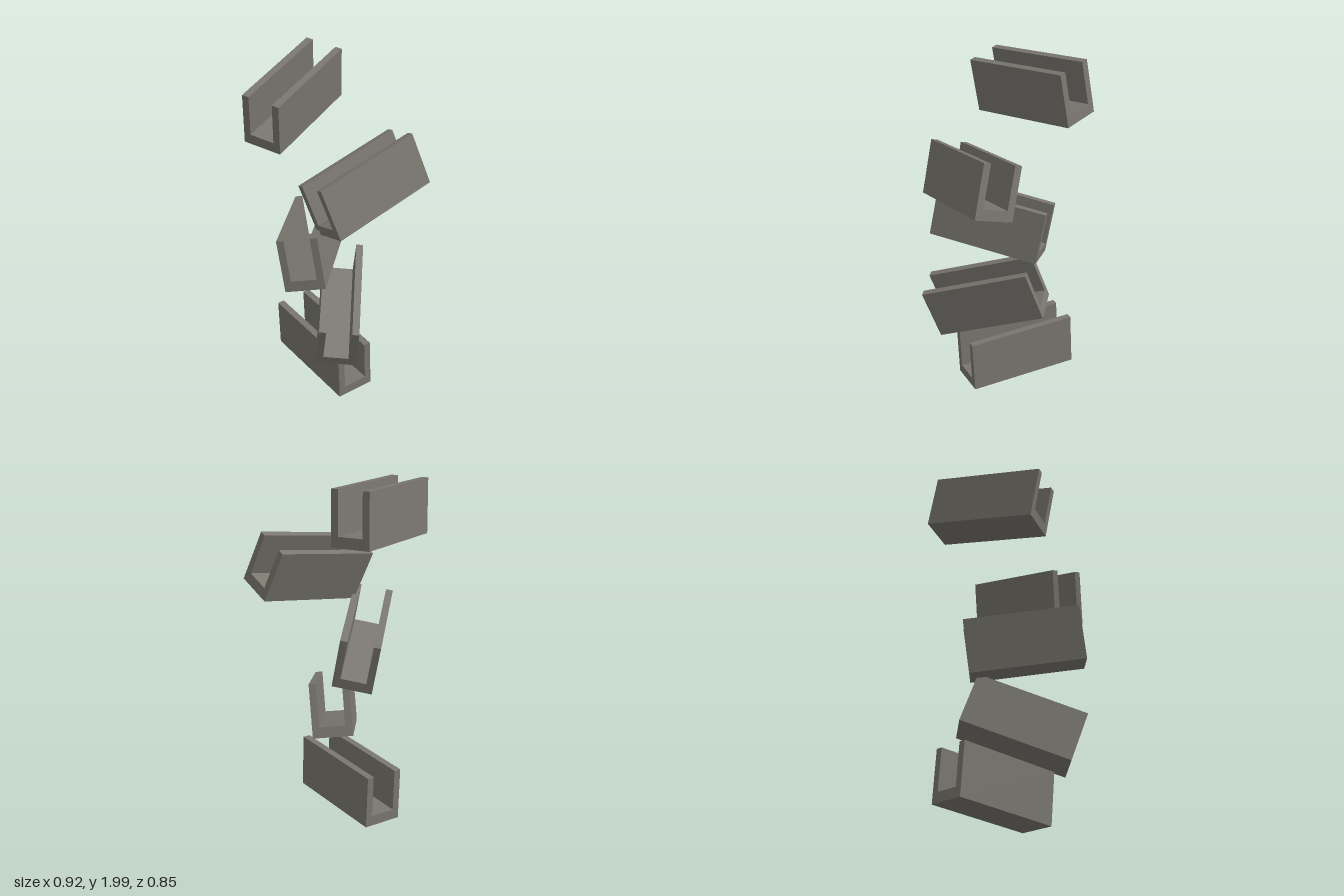
import * as THREE from 'three';

const LENGTH = 0.637, WIDTH = 0.224, HEIGHT = 0.302, WALL = 0.04, FLOOR = 0.06;

// U-shaped trough, centred on its own bounding box, running along z
function channelGeometry() {
  const w = WIDTH / 2, h = HEIGHT / 2, i = w - WALL, f = -h + FLOOR;
  const profile = new THREE.Shape([
    [-w, -h], [w, -h], [w, h], [i, h], [i, f], [-i, f], [-i, h], [-w, h],
  ].map(([x, y]) => new THREE.Vector2(x, y)));
  const geometry = new THREE.ExtrudeGeometry(profile, { depth: LENGTH, bevelEnabled: false });
  return geometry.translate(0, 0, -LENGTH / 2);
}

export function createModel() {
  const group = new THREE.Group();
  group.name = 'channelStack';
  const stone = new THREE.MeshStandardMaterial({ color: 0x7a776f });
  stone.name = 'warmGreyStone';
  const geometry = channelGeometry();

  // Tumbling pieces from bottom to top: centre, direction of the walls, direction of the length
  const pieces = [
    { at: [-0.13, 0.175, -0.087], up: [0, 0.3, 0.02], along: [0.534, -0.02, 0.348] },
    { at: [0.016, 0.571, 0.024], up: [0.063, 0.287, 0.093], along: [0.196, -0.21, 0.566] },
    { at: [-0.14, 0.987, 0.078], up: [-0.061, 0.3, -0.0265], along: [0.153, 0.085, 0.612] },
    { at: [0.164, 1.391, 0.025], up: [-0.111, 0.286, 0.012], along: [-0.307, -0.137, 0.539] },
    { at: [-0.291, 1.794, -0.077], up: [0.018, 0.296, 0.047], along: [-0.102, -0.09, 0.622] },
  ];
  pieces.forEach(({ at, up, along }, n) => {
    const z = new THREE.Vector3(...along).normalize();
    const x = new THREE.Vector3(...up).cross(z).normalize();
    const y = new THREE.Vector3().crossVectors(z, x);
    const mesh = new THREE.Mesh(geometry, stone);
    mesh.name = `channelPiece${n + 1}`;
    mesh.quaternion.setFromRotationMatrix(new THREE.Matrix4().makeBasis(x, y, z));
    mesh.position.set(...at);
    group.add(mesh);
  });
  return group;
}
